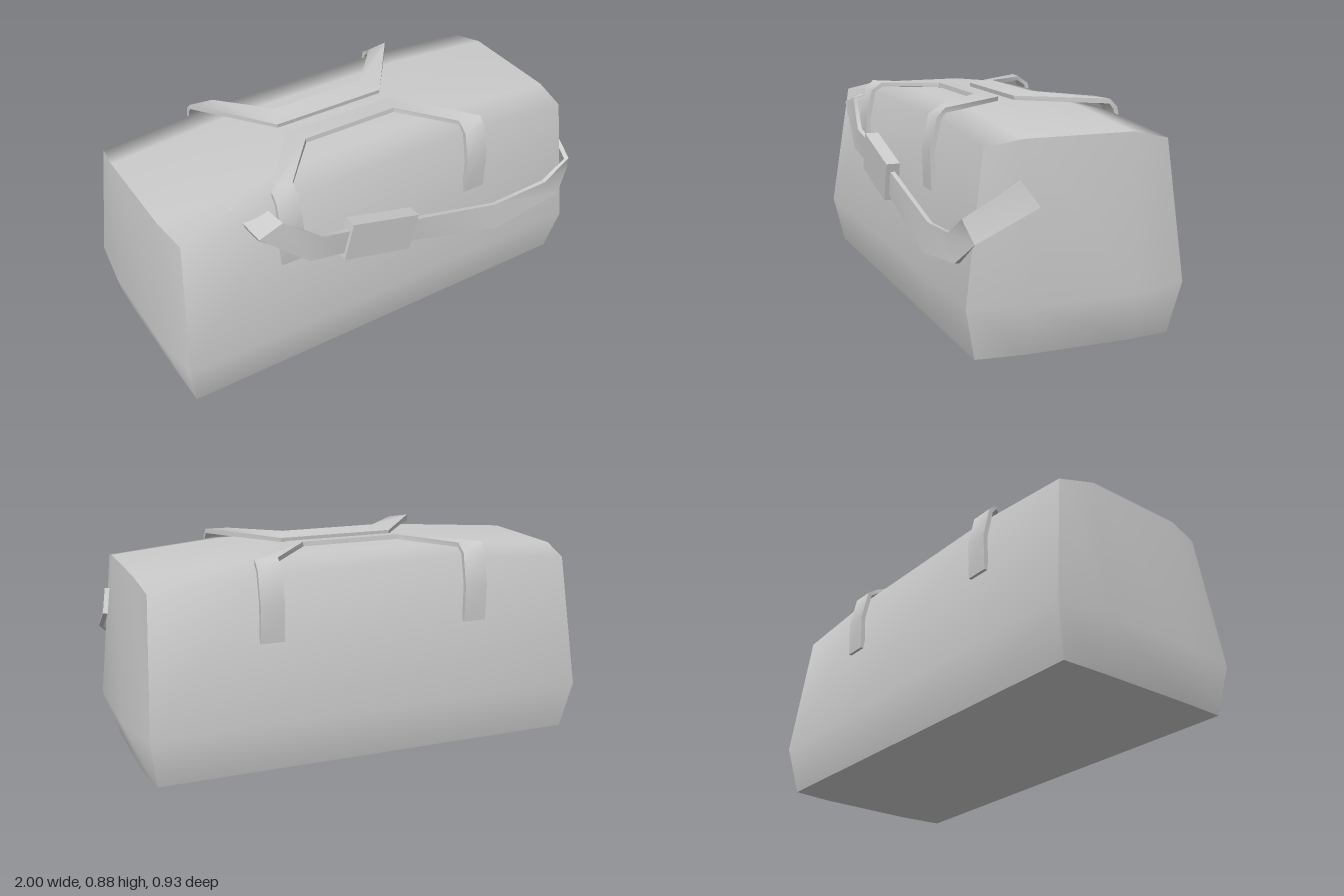
import * as THREE from 'three';
import { toCreasedNormals } from 'three/addons/utils/BufferGeometryUtils.js';

const material = new THREE.MeshStandardMaterial({ color: 0xcccccc });

function addMesh(parent, name, geometry) {
  const mesh = new THREE.Mesh(geometry, material);
  mesh.name = name;
  parent.add(mesh);
  return mesh;
}

// Surface through rows of points; faces along (row step) x (column step)
function gridGeometry(rows) {
  const n = rows[0].length, index = [];
  for (let i = 0; i < rows.length - 1; i++) {
    for (let j = 0; j < n - 1; j++) {
      const a = i * n + j, b = a + n;
      index.push(a, b, b + 1, a, b + 1, a + 1);
    }
  }
  const g = new THREE.BufferGeometry();
  g.setAttribute('position', new THREE.Float32BufferAttribute(rows.flat(2), 3));
  g.setIndex(index);
  g.computeVertexNormals();
  return g;
}

// Flat strap from pairs of edge points [a, b], thickened inward
function strapGeometry(pairs, thickness) {
  const edges = pairs.map(p => p.map(q => new THREE.Vector3(...q)));
  const mids = edges.map(([a, b]) => a.clone().add(b).multiplyScalar(0.5));
  const last = edges.length - 1, pos = [], index = [];
  edges.forEach(([a, b], i) => {
    const tangent = mids[Math.min(i + 1, last)].clone().sub(mids[Math.max(i - 1, 0)]);
    const inward = tangent.cross(a.clone().sub(b)).setLength(-thickness);
    for (const p of [a, b, b.clone().add(inward), a.clone().add(inward)]) pos.push(p.x, p.y, p.z);
  });
  for (let i = 0; i < last; i++) {
    for (let k = 0; k < 4; k++) {
      const p = i * 4 + k, q = i * 4 + (k + 1) % 4;
      index.push(p, q, q + 4, p, q + 4, p + 4);
    }
  }
  const e = last * 4;
  index.push(0, 3, 2, 0, 2, 1, e, e + 1, e + 2, e, e + 2, e + 3);
  const g = new THREE.BufferGeometry();
  g.setAttribute('position', new THREE.Float32BufferAttribute(pos, 3));
  g.setIndex(index);
  return toCreasedNormals(g, 0.8);
}

function buildBody() {
  const body = new THREE.Group();
  body.name = 'body';
  // End panel rows from floor to top, each front to back as [y, z]
  const panel = [
    [[0, 0.39], [0, 0.2], [0, -0.24], [0, -0.42]],
    [[0.21, 0.435], [0.21, 0.2], [0.21, -0.24], [0.21, -0.465]],
    [[0.785, 0.355], [0.81, 0.21], [0.81, -0.24], [0.775, -0.395]],
  ];
  // x of each row as [outer columns, inner columns]
  const rightX = [[0.91, 0.93], [0.94, 1], [0.91, 0.925]];
  const leftX = [[-0.94, -0.945], [-0.97, -1], [-0.92, -0.945]];
  const place = xs => panel.map((row, r) =>
    row.map(([y, z], c) => [xs[r][c === 0 || c === 3 ? 0 : 1], y, z]));
  const right = place(rightX), left = place(leftX);
  // Middle stations are slightly higher along the top
  const station = x => panel.map((row, r) => row.map(([y, z]) => [x, r === 2 ? y + 0.04 : y, z]));
  const stations = [left, station(-0.45), station(0.45), right];

  addMesh(body, 'shell', gridGeometry(stations.map(s => [s[0][0], s[1][0], ...s[2], s[1][3], s[0][3]])));
  addMesh(body, 'base', gridGeometry(stations.map(s => [...s[0]].reverse())));
  addMesh(body, 'rightPanel', gridGeometry(right.map(r => [...r].reverse())));
  addMesh(body, 'leftPanel', gridGeometry(left));
  body.children[2].name = 'leftEndPanel';
  body.children[3].name = 'rightEndPanel';
  return body;
}

// Carrying handle: two upright straps joined by a grip on top
function handleGeometry() {
  const half = [
    [[-0.5, 0.545, 0.42], [-0.4, 0.545, 0.42]],
    [[-0.5, 0.7, 0.425], [-0.4, 0.7, 0.425]],
    [[-0.5, 0.835, 0.395], [-0.4, 0.835, 0.395]],
    [[-0.5, 0.87, 0.36], [-0.4, 0.87, 0.345]],
    [[-0.255, 0.868, 0.035], [-0.215, 0.88, 0.13]],
  ];
  const mirrored = half.map(pair => pair.map(([x, y, z]) => [-x, y, z])).reverse();
  return strapGeometry([...half, ...mirrored], 0.02);
}

export function createModel() {
  const model = new THREE.Group();
  model.name = 'duffelBag';
  model.add(buildBody());

  // Front and back handles
  for (const [name, turn] of [['frontHandle', 0], ['backHandle', Math.PI]]) {
    const handle = addMesh(model, name, handleGeometry());
    handle.position.set(-0.022, 0, -0.02);
    handle.rotation.y = turn;
  }

  // Shoulder strap hanging across the front and round one end
  addMesh(model, 'shoulderStrap', strapGeometry([
    [[-0.57, 0.82, 0.28], [-0.68, 0.82, 0.28]],
    [[-0.53, 0.79, 0.435], [-0.64, 0.76, 0.445]],
    [[-0.37, 0.665, 0.46], [-0.43, 0.57, 0.46]],
    [[-0.23, 0.63, 0.45], [-0.27, 0.53, 0.45]],
    [[0.1, 0.545, 0.445], [0.07, 0.44, 0.445]],
    [[0.53, 0.435, 0.435], [0.53, 0.315, 0.455]],
    [[0.8, 0.46, 0.45], [0.88, 0.365, 0.455]],
    [[0.93, 0.54, 0.445], [0.965, 0.45, 0.41]],
    [[0.96, 0.665, 0.23], [0.985, 0.57, 0.165]],
  ], 0.02));

  // Shoulder pad around the strap
  const pad = addMesh(model, 'shoulderPad', new THREE.BoxGeometry(0.33, 0.17, 0.06));
  pad.position.set(-0.09, 0.545, 0.435);
  pad.rotation.z = -0.255;

  return model;
}
